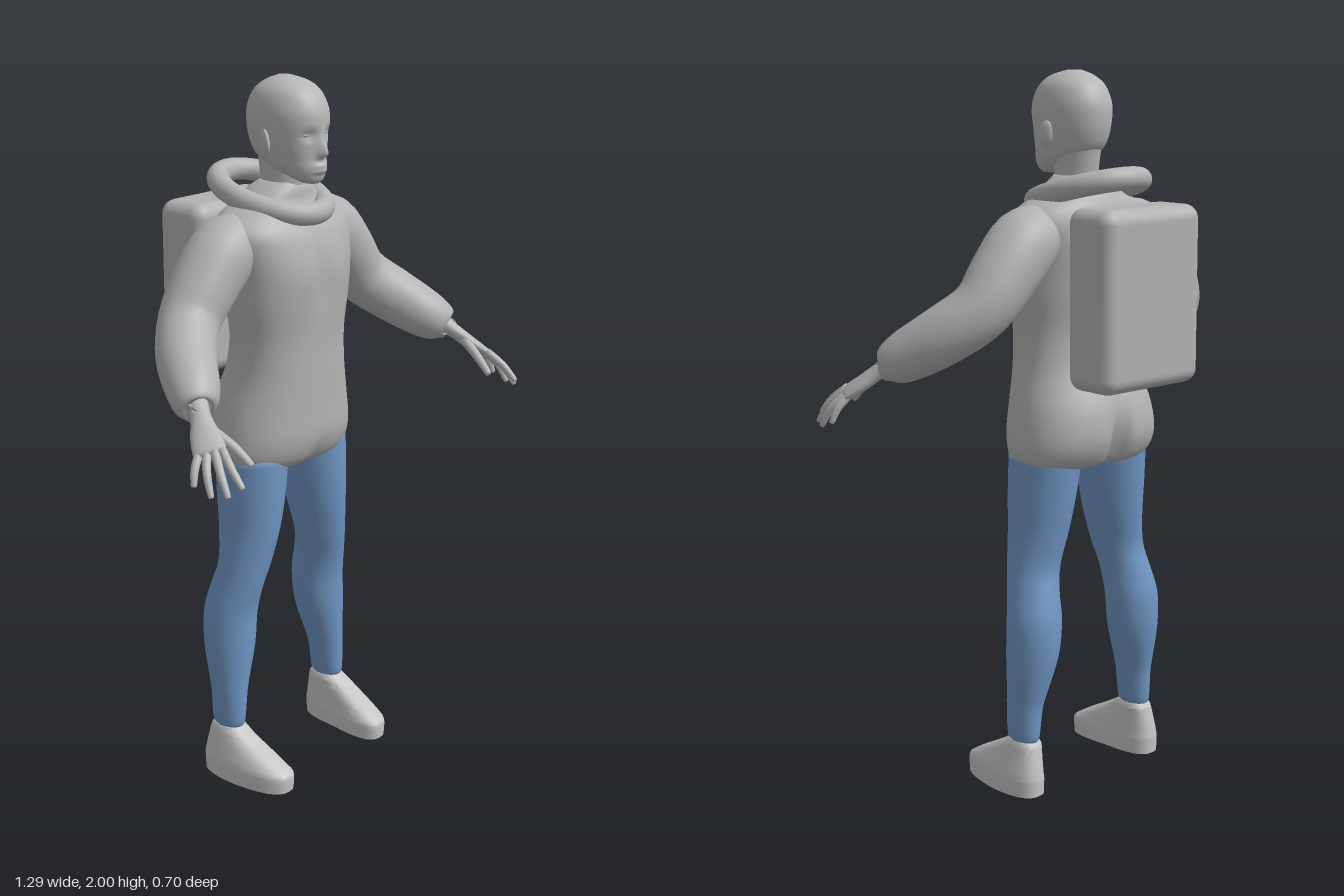
import * as THREE from 'three';
import { toCreasedNormals } from 'three/addons/utils/BufferGeometryUtils.js';
import { RoundedBoxGeometry } from 'three/addons/geometries/RoundedBoxGeometry.js';

const V = (x, y, z) => new THREE.Vector3(x, y, z);
const bump = (d, size) => Math.exp(-((d / size) ** 2));

// Smoothly fills in rows of numbers between the given key rows
function refine(rows, steps) {
  const out = [];
  for (let i = 0; i < rows.length - 1; i++) {
    const p = [rows[Math.max(i - 1, 0)], rows[i], rows[i + 1], rows[Math.min(i + 2, rows.length - 1)]];
    for (let s = 0; s < steps; s++) {
      const t = s / steps;
      out.push(p[1].map((b, k) => {
        const a = p[0][k], c = p[2][k], d = p[3][k];
        return b + 0.5 * t * (c - a + t * (2 * a - 5 * b + 4 * c - d + t * (3 * (b - c) + d - a)));
      }));
    }
  }
  out.push(rows[rows.length - 1]);
  return out;
}

// Skins a list of closed rings and caps both ends
function skin(rings) {
  const n = rings[0].length, pos = [], index = [];
  const centre = (ring) => ring.reduce((c, p) => c.add(p), V(0, 0, 0)).divideScalar(n);
  const all = [...rings.flat(), centre(rings[0]), centre(rings[rings.length - 1])];
  all.forEach((p) => pos.push(p.x, p.y, p.z));
  const first = rings.length * n, last = first + 1, top = first - n;
  for (let j = 0; j < n; j++) {
    const k = (j + 1) % n;
    for (let i = 0; i < rings.length - 1; i++) {
      const a = i * n + j, b = i * n + k;
      index.push(a, b, b + n, a, b + n, a + n);
    }
    index.push(first, k, j, last, top + j, top + k);
  }
  const g = new THREE.BufferGeometry();
  g.setAttribute('position', new THREE.Float32BufferAttribute(pos, 3));
  g.setIndex(index);
  g.computeVertexNormals();
  return g;
}

// Upright body from rows of [y, centre x, half width, front z, back z]
function stack(rows, { side = 1, power = 2, seg = 32, steps = 4, rule } = {}) {
  const pw = (v) => Math.sign(v) * Math.abs(v) ** (2 / power);
  return skin(refine(rows, steps).map(([y, cx, w, zf, zb]) =>
    Array.from({ length: seg }, (_, j) => {
      const t = (j / seg) * Math.PI * 2;
      const p = V(side * cx + w * pw(Math.sin(t)), y, (zf + zb) / 2 + ((zf - zb) / 2) * pw(Math.cos(t)));
      if (rule) rule(p);
      return p;
    })));
}

// Bent limb from rows of [x, y, z, radius across, radius deep]
function limb(rows, side, across = V(-0.4, 0, 0.92), seg = 20, steps = 4) {
  const pts = refine(rows, steps);
  const at = (i) => {
    const [x, y, z] = pts[Math.min(Math.max(i, 0), pts.length - 1)];
    return V(side * x, y, z);
  };
  return skin(pts.map((p, i) => {
    const T = at(i + 1).sub(at(i - 1)).normalize();
    const S = V(side * across.x, across.y, across.z);
    S.addScaledVector(T, -S.dot(T)).normalize();
    const U = S.clone().cross(T);
    return Array.from({ length: seg }, (_, j) => {
      const t = (j / seg) * Math.PI * 2;
      return at(i).addScaledVector(S, p[3] * Math.sin(t)).addScaledVector(U, p[4] * Math.cos(t));
    });
  }));
}

export function createModel() {
  const group = new THREE.Group();
  const mat = (name, color) => Object.assign(new THREE.MeshStandardMaterial({ color }), { name });
  const suit = mat('suit grey', 0xb2b2b2);
  const skinTone = mat('skin grey', 0xb6b6b6);
  const trousers = mat('trouser blue', 0x7096c4);
  const shoe = mat('shoe grey', 0xc4c4c4);
  const eye = mat('eye blue grey', 0x8fa6bf);
  const add = (name, geometry, material, parent = group) => {
    const m = new THREE.Mesh(geometry, material);
    m.name = name;
    parent.add(m);
    return m;
  };

  // Padded top, with a cleft at the seat and a soft chest
  add('torso', stack([
    [0.925, 0, 0.15, 0.02, -0.14], [0.935, 0, 0.2, 0.06, -0.18], [0.965, 0, 0.224, 0.085, -0.208],
    [1.02, 0, 0.226, 0.1, -0.226], [1.1, 0, 0.212, 0.1, -0.215], [1.2, 0, 0.186, 0.1, -0.172],
    [1.3, 0, 0.18, 0.1, -0.155], [1.4, 0, 0.193, 0.108, -0.165], [1.48, 0, 0.2, 0.112, -0.175],
    [1.55, 0, 0.215, 0.098, -0.18], [1.6, 0, 0.225, 0.078, -0.175], [1.64, 0, 0.195, 0.05, -0.165],
    [1.67, 0, 0.13, 0.03, -0.15], [1.7, 0, 0.09, 0.025, -0.13], [1.72, 0, 0.06, 0.015, -0.1],
  ], {
    power: 2.3, seg: 64, rule: (p) => {
      if (p.z < -0.06) p.z += 0.045 * bump(p.x, 0.025) * bump(p.y - 0.98, 0.09);
      else if (p.z > 0) p.z -= 0.012 * bump(p.x, 0.03) * (bump(p.y - 1.46, 0.08) + bump(p.y - 0.94, 0.05));
    },
  }), suit);

  // Tilted collar ring
  const ringCurve = new THREE.CatmullRomCurve3(Array.from({ length: 24 }, (_, i) => {
    const t = (i / 24) * Math.PI * 2;
    return V(0.128 * Math.sin(t), 1.68 - 0.04 * Math.cos(t), -0.087 + 0.157 * Math.cos(t));
  }), true);
  add('collarRing', new THREE.TubeGeometry(ringCurve, 64, 0.031, 16, true), suit);

  add('backpack', new RoundedBoxGeometry(0.36, 0.485, 0.166, 4, 0.04), suit).position.set(0, 1.407, -0.268);

  // Head and neck
  const head = new THREE.Group();
  head.name = 'head';
  group.add(head);
  add('neck', stack([
    [1.6, 0, 0.065, 0.01, -0.12], [1.7, 0, 0.056, 0.02, -0.108],
    [1.75, 0, 0.056, 0.025, -0.112], [1.8, 0, 0.06, 0.03, -0.12],
  ]), skinTone, head);
  add('skull', stack([
    [1.722, 0, 0.02, 0.08, 0.03], [1.735, 0, 0.042, 0.09, 0], [1.76, 0, 0.062, 0.094, -0.07],
    [1.79, 0, 0.075, 0.092, -0.118], [1.83, 0, 0.086, 0.092, -0.138], [1.88, 0, 0.092, 0.097, -0.146],
    [1.92, 0, 0.09, 0.092, -0.142], [1.96, 0, 0.076, 0.07, -0.122], [1.985, 0, 0.05, 0.035, -0.09],
    [1.999, 0, 0.015, -0.015, -0.055],
  ], {
    seg: 72, steps: 6, power: 2.15, rule: (p) => {
      if (p.z < 0.03) return;
      const ax = Math.abs(p.x);
      p.z += 0.027 * bump(ax, 0.013) * bump(p.y - 1.805, p.y > 1.805 ? 0.035 : 0.013); // nose
      p.z += 0.01 * bump(ax, 0.025) * (bump(p.y - 1.771, 0.007) + bump(p.y - 1.757, 0.007)); // lips
      p.z -= 0.011 * bump(ax - 0.036, 0.018) * bump(p.y - 1.853, 0.013); // eye sockets
    },
  }), skinTone, head);

  for (const side of [1, -1]) {
    const label = side > 0 ? 'left' : 'right';
    const eyeball = add(label + 'Eye', new THREE.SphereGeometry(1, 16, 10), eye, head);
    eyeball.scale.set(0.013, 0.005, 0.005);
    eyeball.position.set(side * 0.036, 1.853, 0.073);
    const ear = add(label + 'Ear', new THREE.SphereGeometry(1, 16, 12), skinTone, head);
    ear.scale.set(0.009, 0.034, 0.02);
    ear.position.set(side * 0.093, 1.833, -0.022);
    ear.rotation.set(-0.15, side * 0.4, 0);

    // Sleeve
    add(label + 'Sleeve', limb([
      [0.13, 1.575, -0.06, 0.075, 0.075], [0.21, 1.55, -0.066, 0.094, 0.094], [0.285, 1.475, -0.068, 0.092, 0.092],
      [0.357, 1.388, -0.058, 0.083, 0.083], [0.43, 1.322, 0.002, 0.08, 0.08], [0.485, 1.268, 0.077, 0.072, 0.072],
      [0.514, 1.241, 0.116, 0.06, 0.06], [0.524, 1.23, 0.131, 0.046, 0.046], [0.525, 1.229, 0.133, 0.03, 0.03],
    ], side, V(-0.4, 0, 0.92), 32), suit);

    // Hand with spread fingers
    const hand = new THREE.Group();
    hand.name = label + 'Hand';
    group.add(hand);
    add('palm', limb([
      [0.505, 1.25, 0.11, 0.028, 0.027], [0.535, 1.217, 0.153, 0.027, 0.021], [0.56, 1.185, 0.19, 0.038, 0.019],
      [0.582, 1.158, 0.227, 0.043, 0.015], [0.588, 1.15, 0.236, 0.036, 0.009],
    ], side), skinTone, hand);
    const fingers = {
      thumb: [[0.54, 1.197, 0.188], [0.522, 1.158, 0.252], [0.511, 1.12, 0.3]],
      indexFinger: [[0.566, 1.163, 0.255], [0.583, 1.128, 0.302], [0.588, 1.09, 0.342]],
      middleFinger: [[0.577, 1.16, 0.24], [0.605, 1.118, 0.286], [0.616, 1.07, 0.32]],
      ringFinger: [[0.586, 1.157, 0.222], [0.621, 1.115, 0.255], [0.634, 1.066, 0.28]],
      littleFinger: [[0.592, 1.157, 0.205], [0.625, 1.12, 0.218], [0.64, 1.082, 0.228]],
    };
    for (const [name, [a, b, c]] of Object.entries(fingers)) {
      const r = name === 'thumb' ? 0.014 : 0.012;
      const tip = c.map((v, k) => v + (c[k] - b[k]) * 0.08);
      add(name, limb([[...a, r, r], [...b, r * 0.9, r * 0.9], [...c, r * 0.65, r * 0.65], [...tip, 0.003, 0.003]],
        side, V(-0.4, 0, 0.92), 10), skinTone, hand);
    }

    // Trouser leg
    add(label + 'TrouserLeg', stack([
      [0.15, 0.219, 0.03, -0.02, -0.105], [0.165, 0.22, 0.037, -0.008, -0.115], [0.25, 0.216, 0.046, -0.006, -0.12],
      [0.3, 0.21, 0.054, -0.005, -0.131], [0.4, 0.198, 0.072, 0, -0.152], [0.5, 0.191, 0.076, 0.002, -0.155],
      [0.58, 0.18, 0.07, 0.018, -0.138], [0.65, 0.164, 0.072, 0.033, -0.123], [0.75, 0.145, 0.078, 0.05, -0.138],
      [0.85, 0.134, 0.087, 0.058, -0.152], [0.97, 0.124, 0.094, 0.06, -0.165],
    ], { side }), trousers);

    // Shoe, with the toe turned slightly inward
    add(label + 'Shoe', toCreasedNormals(stack([
      [0, 0.228, 0.057, 0.162, -0.132], [0.045, 0.228, 0.057, 0.164, -0.134], [0.06, 0.228, 0.055, 0.148, -0.132],
      [0.085, 0.226, 0.05, 0.105, -0.128], [0.115, 0.223, 0.044, 0.048, -0.122], [0.142, 0.22, 0.039, 0.0, -0.116],
      [0.153, 0.22, 0.034, -0.015, -0.108],
    ], { side, power: 2.7, rule: (p) => { p.x -= side * 0.12 * Math.max(p.z, 0); } }), 0.9), shoe);
  }
  return group;
}
